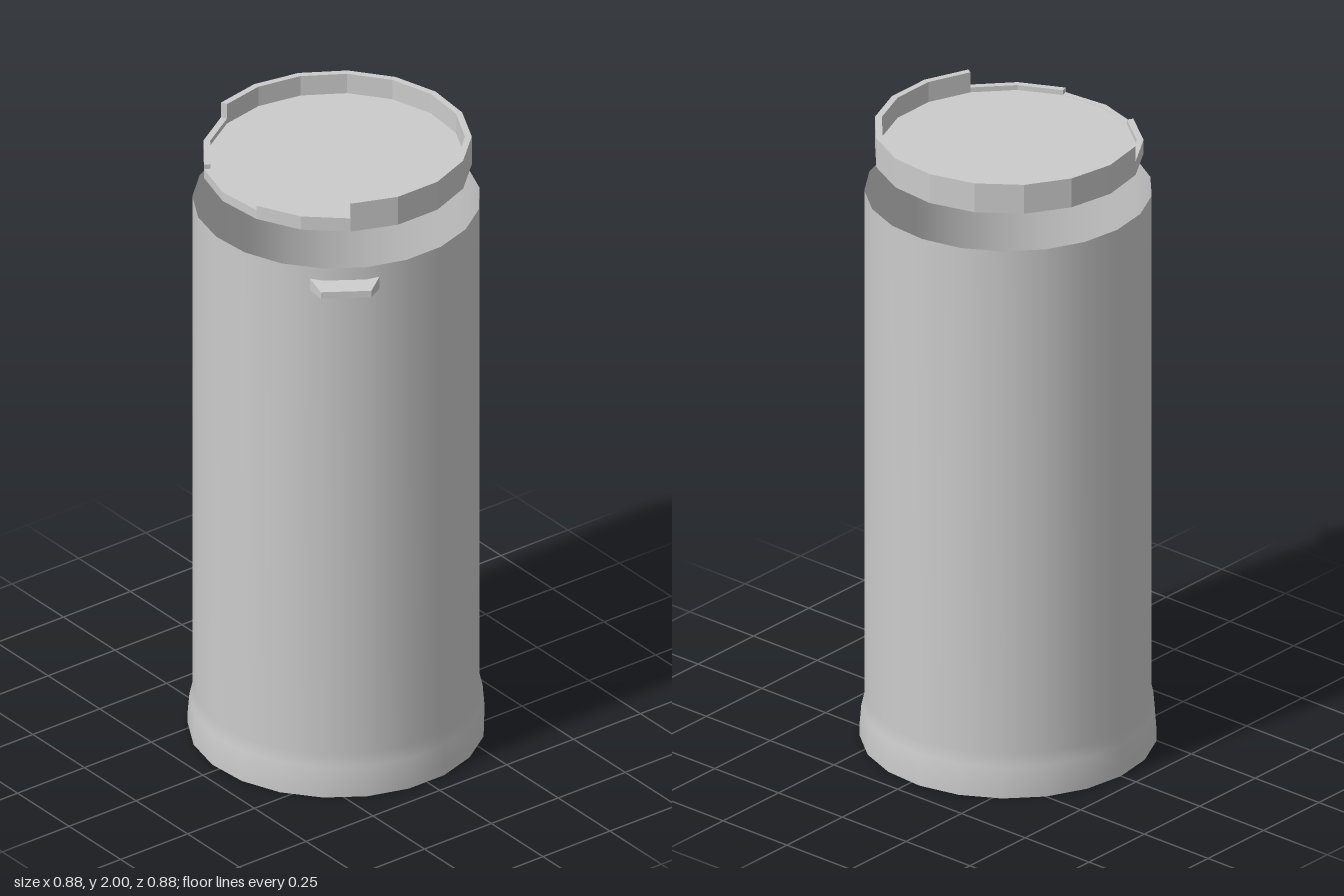
import * as THREE from 'three';

const smooth = () => new THREE.MeshStandardMaterial({ color: 0xcccccc, side: THREE.DoubleSide });
const flat = () => new THREE.MeshStandardMaterial({ color: 0xcccccc, flatShading: true });

const BODY_SIDES = 21;
const LID_SIDES = 17;

// Point on the lid polygon; corner 0 lies on -x
function lidCorner(k, r) {
  const a = Math.PI + (k * Math.PI * 2) / LID_SIDES;
  return new THREE.Vector2(r * Math.cos(a), r * Math.sin(a));
}

// Upright prism over an outline given in x and z
function prism(outline, y0, y1) {
  const geo = new THREE.ExtrudeGeometry(new THREE.Shape(outline), { depth: y1 - y0, bevelEnabled: false });
  return geo.rotateX(Math.PI / 2).translate(0, y1, 0);
}

// Stretch of the lid rim from corner k0 to corner k1
function rimOutline(k0, k1) {
  const outer = [], inner = [];
  for (let k = k0; k <= k1; k++) {
    outer.push(lidCorner(k, 0.4));
    inner.unshift(lidCorner(k, 0.38));
  }
  return [...outer, ...inner];
}

export function createModel() {
  const model = new THREE.Group();
  const add = (name, geo, mat, parent = model) => {
    const mesh = new THREE.Mesh(geo, mat);
    mesh.name = name;
    parent.add(mesh);
    return mesh;
  };

  // Open-topped body with a flared foot
  const profile = [[0.441, 0], [0.441, 0.04], [0.436, 0.1], [0.427, 0.14], [0.427, 1.795]]
    .map(([r, y]) => new THREE.Vector2(r, y));
  add('body', new THREE.LatheGeometry(profile, BODY_SIDES, -Math.PI / 2), smooth());
  const bottom = new THREE.CircleGeometry(0.441, BODY_SIDES, Math.PI).rotateX(Math.PI / 2);
  add('bottom', bottom, smooth());

  // Tapered tab near the top, narrowing outwards
  const tabGeo = new THREE.BoxGeometry(1, 1, 1);
  const p = tabGeo.attributes.position;
  for (let i = 0; i < p.count; i++) {
    const out = p.getX(i) > 0;
    p.setXYZ(i,
      out ? 0.478 : 0.411,
      1.735 + Math.sign(p.getY(i)) * (out ? 0.011 : 0.02),
      Math.sign(p.getZ(i)) * (out ? 0.075 : 0.103));
  }
  tabGeo.rotateY(-Math.PI * 2 * 2 / BODY_SIDES);
  add('tab', tabGeo, flat());

  // Floating lid: a plate with a rim that steps down at the front
  const lid = new THREE.Group();
  lid.name = 'lid';
  model.add(lid);
  const plate = [];
  for (let k = 0; k < LID_SIDES; k++) plate.push(lidCorner(k, 0.381));
  add('lidPlate', prism(plate, 1.915, 1.934), flat(), lid);
  const rims = [
    ['highRim', -1, 10, 2],
    ['rightLowRim', -3, -1, 1.95],
    ['leftLowRim', -7, -5, 1.95],
    ['frontNotch', -5, -3, 1.935],
  ];
  for (const [name, k0, k1, top] of rims) add(name, prism(rimOutline(k0, k1), 1.905, top), flat(), lid);

  return model;
}
